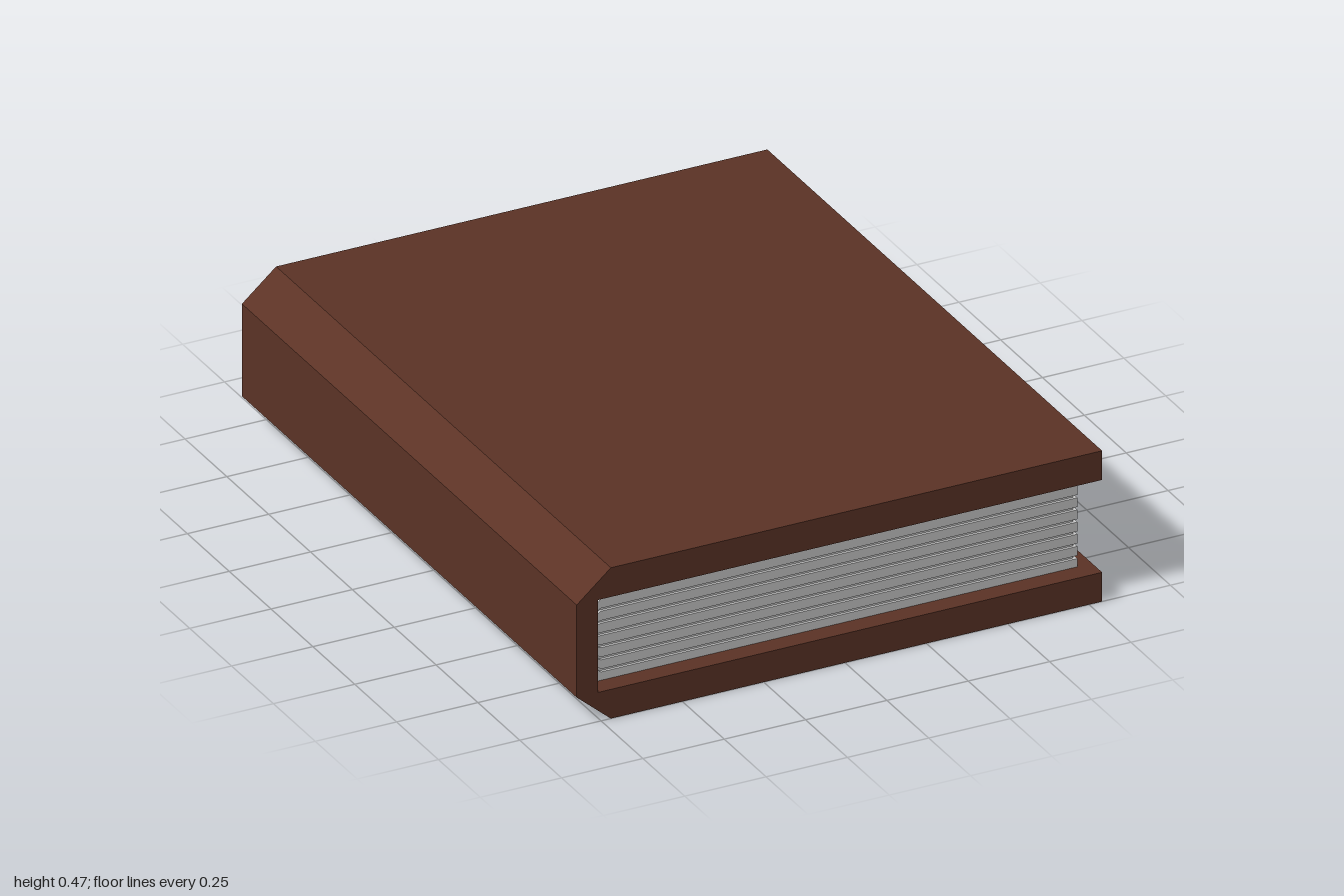
import * as THREE from 'three';

const LEATHER = new THREE.MeshStandardMaterial({ color: 0x5c3326, flatShading: true });
const PAPER = new THREE.MeshStandardMaterial({ color: 0xcccccc, flatShading: true });
const CLASP = new THREE.MeshStandardMaterial({ color: 0x721c22, flatShading: true });
const BLACK = new THREE.MeshStandardMaterial({ color: 0x0d0b0d, flatShading: true });

const MID = 0.2325; // mid height of the closed book

function add(parent, name, geometry, material) {
  const mesh = new THREE.Mesh(geometry, material);
  mesh.name = name;
  parent.add(mesh);
  return mesh;
}

// Extrude an x/y outline evenly to both sides of z = 0
function extrudeZ(points, halfDepth) {
  const shape = new THREE.Shape(points.map(([x, y]) => new THREE.Vector2(x, y)));
  const geometry = new THREE.ExtrudeGeometry(shape, { depth: halfDepth * 2, bevelEnabled: false });
  return geometry.translate(0, 0, -halfDepth);
}

export function createModel() {
  const book = new THREE.Group();
  book.name = 'book';

  // Cover: two boards and a bevelled spine in one C-shaped section
  add(book, 'cover', extrudeZ([
    [-0.825, 0.09], [-0.72, 0], [0.79, 0], [0.79, 0.09], [-0.76, 0.09],
    [-0.76, 0.375], [0.79, 0.375], [0.79, 0.465], [-0.72, 0.465], [-0.825, 0.375],
  ], 1), LEATHER);

  // Pages: bundles separated by thin grooves that draw together at the spine
  const pages = new THREE.Group();
  pages.name = 'pages';
  book.add(pages);
  const bundles = 8, pitch = 0.0375, gap = 0.0045;
  const pinch = (y) => MID + (y - MID) * 0.68;
  for (let i = 0; i < bundles; i++) {
    const first = i === 0, last = i === bundles - 1;
    const low = first ? 0.09 : MID + (i - bundles / 2) * pitch + gap;
    const high = last ? 0.375 : MID + (i + 1 - bundles / 2) * pitch - gap;
    add(pages, 'pageBundle', extrudeZ([
      [-0.76, first ? low : pinch(low)], [-0.72, low], [0.745, low],
      [0.745, high], [-0.72, high], [-0.76, last ? high : pinch(high)],
    ], 0.94), PAPER);
  }
  // Core that closes the bottom of the grooves
  const core = add(pages, 'pageCore', new THREE.BoxGeometry(1.494, 0.28, 1.864), PAPER);
  core.position.set(-0.011, MID, 0);

  // Clasp: eight-sided lock, domed behind and bevelled in front
  const clasp = new THREE.Group();
  clasp.name = 'clasp';
  clasp.position.y = MID;
  book.add(clasp);
  const profile = [[0, 0.745], [0.14, 0.762], [0.19, 0.788], [0.15, 0.815], [0, 0.817]]
    .map(([r, x]) => new THREE.Vector2(r, x));
  add(clasp, 'lockPlate', new THREE.LatheGeometry(profile, 8).rotateZ(-Math.PI / 2), CLASP);

  // Keyhole: round head over a narrow slot
  const head = add(clasp, 'keyholeHead',
    new THREE.CylinderGeometry(0.034, 0.034, 0.015, 12).rotateZ(-Math.PI / 2), BLACK);
  head.position.set(0.8175, 0.046, 0);
  const slot = add(clasp, 'keyholeSlot', new THREE.BoxGeometry(0.014, 0.09, 0.03), BLACK);
  slot.position.set(0.8175, -0.005, 0);

  return book;
}
